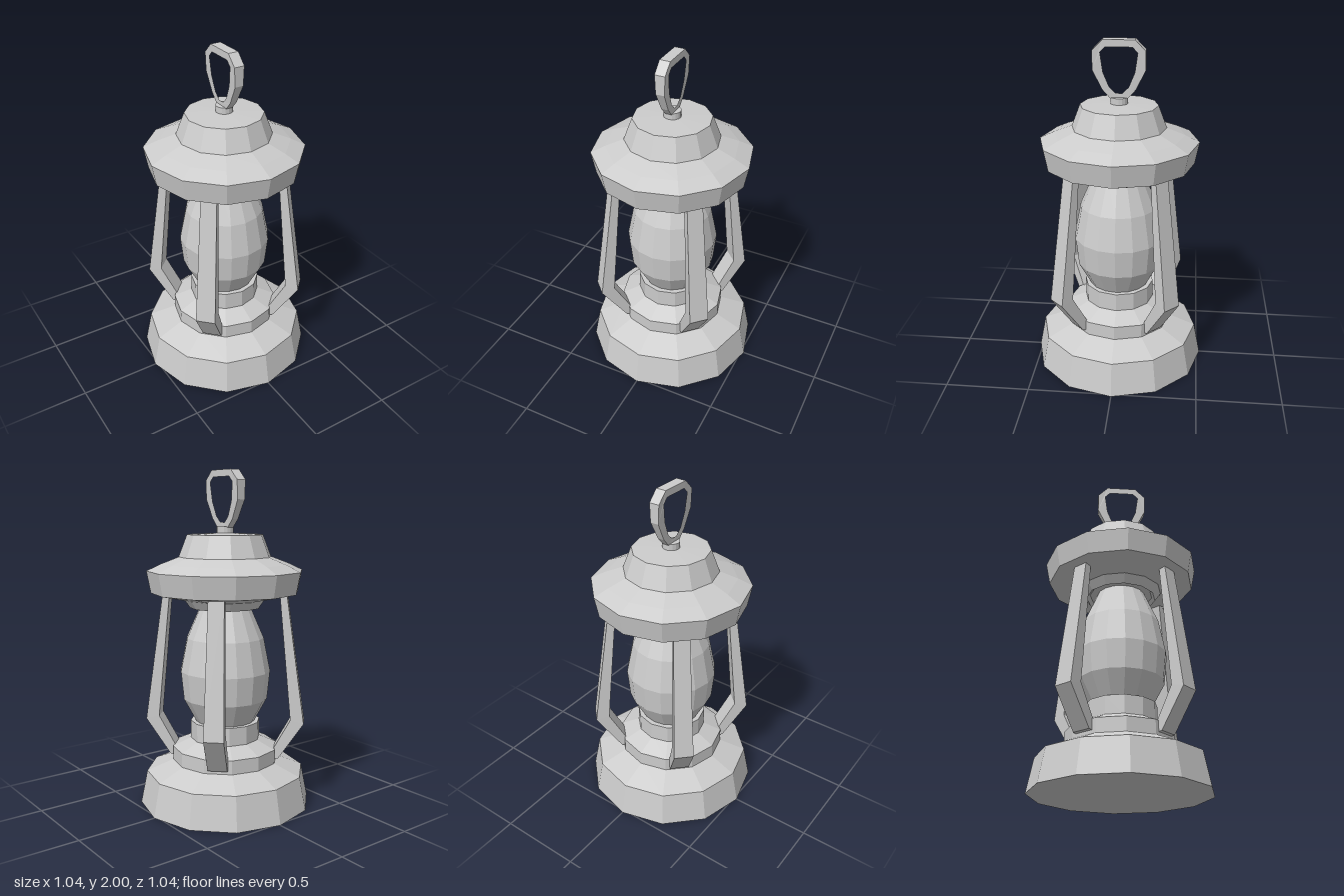
import * as THREE from 'three';

const material = new THREE.MeshStandardMaterial({ color: 0xcccccc, flatShading: true });

function addMesh(parent, name, geometry) {
  const mesh = new THREE.Mesh(geometry, material);
  mesh.name = name;
  parent.add(mesh);
  return mesh;
}

// Faceted solid of revolution, profile listed from bottom to top as [radius, y]
function turned(profile, sides) {
  return new THREE.LatheGeometry(profile.map(([r, y]) => new THREE.Vector2(r, y)), sides);
}

// Flat outline given thickness along z, where the thickness varies with height
function taperedSlab(outline, hole, widthAt) {
  const toVectors = (list) => list.map(([x, y]) => new THREE.Vector2(x, y));
  const shape = new THREE.Shape(toVectors(outline));
  if (hole) shape.holes.push(new THREE.Path(toVectors(hole)));
  const geometry = new THREE.ExtrudeGeometry(shape, { depth: 1, bevelEnabled: false });
  const p = geometry.attributes.position;
  for (let i = 0; i < p.count; i++) p.setZ(i, (p.getZ(i) - 0.5) * widthAt(p.getY(i)));
  geometry.computeVertexNormals();
  return geometry;
}

// Closed symmetric outline from its right half, listed from top to bottom
const mirrored = (half) => [...half, ...half.map(([x, y]) => [-x, y]).reverse()];

export function createModel() {
  const lantern = new THREE.Group();
  lantern.name = 'lantern';

  // Base, stepped collar and burner
  addMesh(lantern, 'base', turned([[0, 0], [0.52, 0], [0.48, 0.2], [0.31, 0.27], [0, 0.27]], 12));
  addMesh(lantern, 'collar', turned([[0, 0.26], [0.32, 0.26], [0.32, 0.35], [0.2, 0.405], [0, 0.405]], 12));
  addMesh(lantern, 'burner', turned([[0, 0.39], [0.21, 0.39], [0.21, 0.51], [0, 0.51]], 12));

  // Glass globe
  addMesh(lantern, 'globe', turned(
    [[0, 0.505], [0.18, 0.51], [0.255, 0.65], [0.272, 0.82], [0.232, 1.02], [0.14, 1.23], [0, 1.23]], 16));

  // Roof with its lower ring and chimney cap
  addMesh(lantern, 'roof', turned([
    [0, 1.22], [0.19, 1.22], [0.21, 1.2], [0.245, 1.25], [0.44, 1.29], [0.465, 1.42],
    [0.38, 1.46], [0.275, 1.5], [0.225, 1.63], [0, 1.64],
  ], 12));
  const knob = addMesh(lantern, 'knob', new THREE.CylinderGeometry(0.05, 0.05, 0.05, 16));
  knob.position.y = 1.65;

  // Four bent guard posts on the diagonals
  const postOutline = [
    [0.27, 0.28], [0.33, 0.29], [0.48, 0.51], [0.365, 1.32], [0.325, 1.32], [0.4, 0.53], [0.3, 0.35],
  ];
  const post = taperedSlab(postOutline, null, (y) => 0.115 - 0.025 * Math.max(0, (y - 0.51) / 0.8));
  for (let i = 0; i < 4; i++) {
    addMesh(lantern, 'guardPost', post).rotation.y = Math.PI / 4 + i * Math.PI / 2;
  }

  // Hanging loop, wider at the top
  const outer = mirrored([[0.09, 2], [0.15, 1.94], [0.15, 1.83], [0.095, 1.72], [0.05, 1.67]]);
  const inner = mirrored([[0.075, 1.96], [0.105, 1.93], [0.09, 1.82], [0.055, 1.735], [0.02, 1.7]]);
  const loop = taperedSlab(outer, inner, (y) => 0.04 + 0.022 * THREE.MathUtils.clamp((y - 1.7) / 0.25, 0, 1));
  addMesh(lantern, 'hangingLoop', loop).rotation.y = Math.PI / 2;

  return lantern;
}
